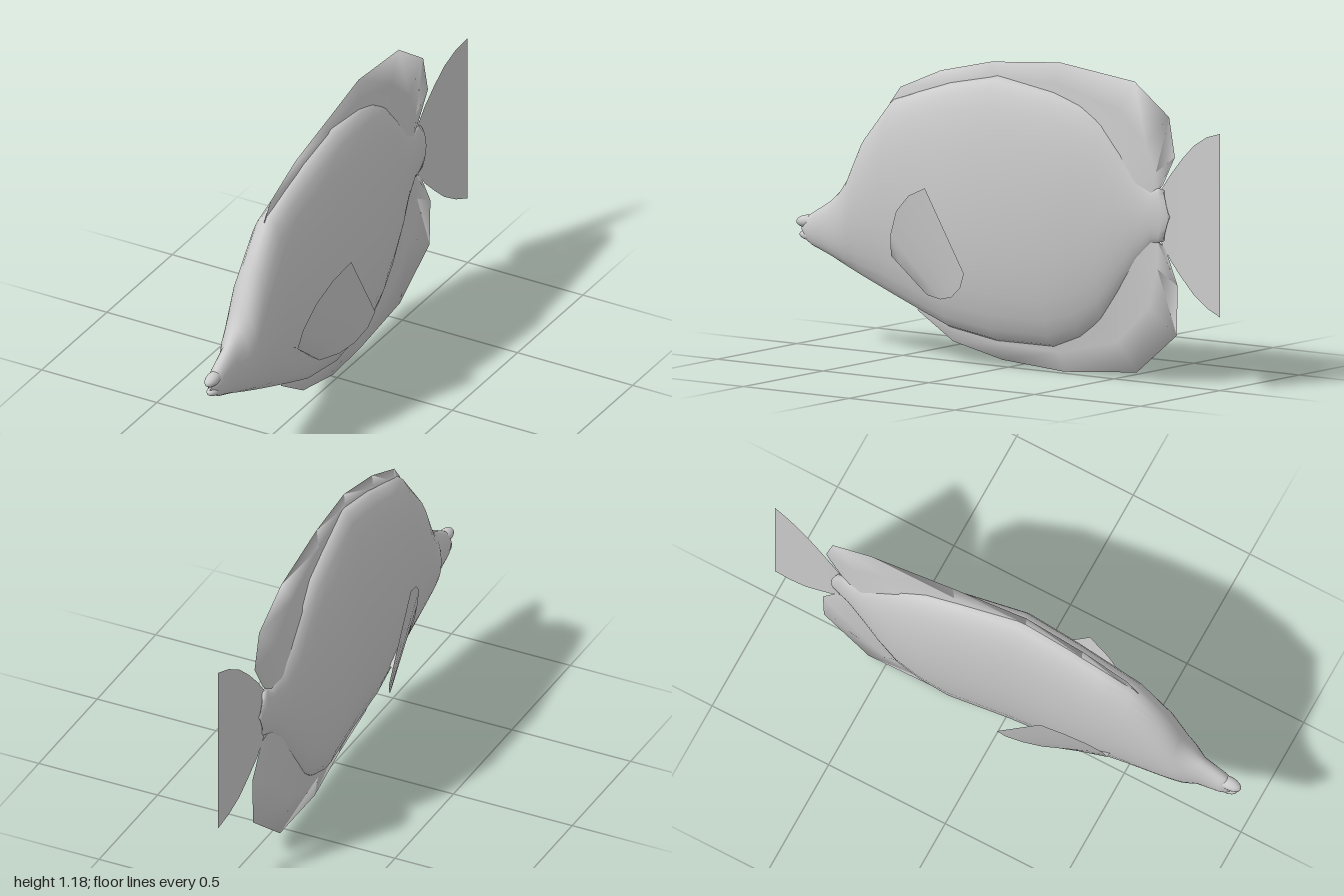
import * as THREE from 'three';

const material = new THREE.MeshStandardMaterial({ color: 0xcccccc, side: THREE.DoubleSide });

// The spine swings gently to one side towards the tail: [z, x]
const spine = [[-1, 0], [-0.88, -0.02], [-0.72, -0.042], [-0.58, -0.05], [-0.4, -0.05], [-0.2, -0.03], [0.06, 0], [1, 0]];
function bend(z) {
  for (let i = 1; i < spine.length; i++) {
    const [z0, x0] = spine[i - 1], [z1, x1] = spine[i];
    if (z <= z1) return x0 + (x1 - x0) * (z - z0) / (z1 - z0);
  }
  return 0;
}

// Smooth surface through rows of equal length
function loft(name, rows, closed = false) {
  const n = rows[0].length, index = [];
  for (let r = 0; r < rows.length - 1; r++) {
    for (let i = 0; i < (closed ? n : n - 1); i++) {
      const j = (i + 1) % n, a = r * n + i, b = r * n + j;
      index.push(a, b, a + n, b, b + n, a + n);
    }
  }
  const geometry = new THREE.BufferGeometry();
  geometry.setAttribute('position', new THREE.Float32BufferAttribute(rows.flat(2), 3));
  geometry.setIndex(index);
  geometry.computeVertexNormals();
  const mesh = new THREE.Mesh(geometry, material);
  mesh.name = name;
  return mesh;
}

// Body sections from snout to tail root: [z, top, bottom, half width]
const sections = [
  [0.975, 0.46, 0.44, 0.004], [0.95, 0.495, 0.405, 0.024], [0.92, 0.515, 0.388, 0.034],
  [0.83, 0.57, 0.355, 0.042], [0.78, 0.615, 0.335, 0.066], [0.74, 0.67, 0.318, 0.075],
  [0.67, 0.82, 0.288, 0.087], [0.54, 0.98, 0.235, 0.095], [0.41, 1.025, 0.185, 0.102],
  [0.27, 1.07, 0.133, 0.11], [0.05, 1.115, 0.1, 0.12], [-0.2, 1.075, 0.095, 0.116],
  [-0.32, 1.035, 0.14, 0.103], [-0.42, 0.975, 0.21, 0.086], [-0.51, 0.875, 0.33, 0.066],
  [-0.58, 0.785, 0.44, 0.045], [-0.65, 0.735, 0.525, 0.028], [-0.7, 0.745, 0.535, 0.02],
  [-0.73, 0.74, 0.545, 0.014], [-0.735, 0.65, 0.63, 0.001],
];

function bodyRows() {
  const sides = 28;
  return sections.map(([z, top, bottom, w]) => Array.from({ length: sides }, (_, i) => {
    const a = (i / sides) * Math.PI * 2, s = Math.sin(a);
    const x = Math.sign(s) * Math.pow(Math.abs(s), 0.96) * w;
    // the tail root is rounded backwards
    const zz = z < -0.69 ? z + 0.025 * Math.cos(a) ** 2 : z;
    return [bend(z) + x, (top + bottom) / 2 + Math.cos(a) * (top - bottom) / 2, zz];
  }));
}

// Median fin thick at its sunken root, sharp at its edge: [edge z, edge y, root z, root y, root half thickness]
function medianFin(name, points) {
  return loft(name, points.map(([z, y, rz, ry, t]) => {
    const mz = (z + rz) / 2, my = (y + ry) / 2;
    return [
      [bend(rz) + t, ry, rz], [bend(mz) + t * 0.3, my, mz], [bend(z), y, z],
      [bend(mz) - t * 0.3, my, mz], [bend(rz) - t, ry, rz],
    ];
  }));
}

const dorsal = [
  [0.56, 0.965, 0.53, 0.90, 0.005], [0.51, 1.03, 0.49, 0.93, 0.012], [0.32, 1.11, 0.32, 1.0, 0.015],
  [0.08, 1.165, 0.08, 1.05, 0.015], [-0.22, 1.185, -0.2, 1.02, 0.02], [-0.56, 1.14, -0.41, 0.92, 0.03],
  [-0.73, 1.02, -0.51, 0.80, 0.03], [-0.76, 0.87, -0.58, 0.74, 0.025], [-0.70, 0.76, -0.64, 0.70, 0.015],
];
const anal = [
  [0.43, 0.185, 0.40, 0.22, 0.005], [0.26, 0.08, 0.26, 0.18, 0.015], [0.03, 0.03, 0.03, 0.15, 0.015],
  [-0.24, 0.005, -0.2, 0.15, 0.02], [-0.57, 0.03, -0.40, 0.25, 0.03], [-0.77, 0.19, -0.50, 0.38, 0.03],
  [-0.775, 0.38, -0.58, 0.49, 0.025], [-0.71, 0.52, -0.64, 0.56, 0.015],
];

// Tail fin as rows across its height: [z, top, bottom]
const tail = [
  [-0.69, 0.74, 0.54], [-0.74, 0.805, 0.47], [-0.8, 0.87, 0.41],
  [-0.86, 0.925, 0.355], [-0.93, 0.965, 0.312], [-1, 0.985, 0.285],
];

// Side fin: matching points of its upper and lower edges, root to tip
const upperEdge = [[0.075, 0.41, 0.485], [0.1, 0.40, 0.48], [0.118, 0.48, 0.47], [0.148, 0.58, 0.42], [0.176, 0.65, 0.34], [0.2, 0.69, 0.245]];
const lowerEdge = [[0.075, 0.275, 0.32], [0.1, 0.265, 0.31], [0.135, 0.26, 0.22], [0.16, 0.277, 0.15], [0.184, 0.32, 0.09], [0.2, 0.38, 0.06]];

function sideFin(name, side) {
  return loft(name, upperEdge.map((a, i) => [0, 0.25, 0.5, 0.75, 1].map((t) => {
    const [x, y, z] = a.map((v, k) => v + (lowerEdge[i][k] - v) * t);
    return [side * x, y, z];
  })));
}

function lip(name, y, z, w, h, d, tilt) {
  const mesh = new THREE.Mesh(new THREE.SphereGeometry(1, 16, 10), material);
  mesh.name = name;
  mesh.scale.set(w, h, d);
  mesh.position.set(0, y, z);
  mesh.rotation.x = tilt;
  return mesh;
}

export function createModel() {
  const fish = new THREE.Group();
  fish.name = 'fish';
  fish.add(loft('body', bodyRows(), true));
  fish.add(medianFin('dorsalFin', dorsal), medianFin('analFin', anal));
  fish.add(loft('tailFin', tail.map(([z, top, bottom]) =>
    [0, 0.25, 0.5, 0.75, 1].map((t) => [bend(z), top + (bottom - top) * t, z]))));
  fish.add(sideFin('leftSideFin', 1), sideFin('rightSideFin', -1));
  // parted lips
  fish.add(lip('upperLip', 0.478, 0.95, 0.026, 0.024, 0.05, 0.1));
  fish.add(lip('lowerLip', 0.424, 0.94, 0.024, 0.019, 0.045, -0.1));
  return fish;
}
